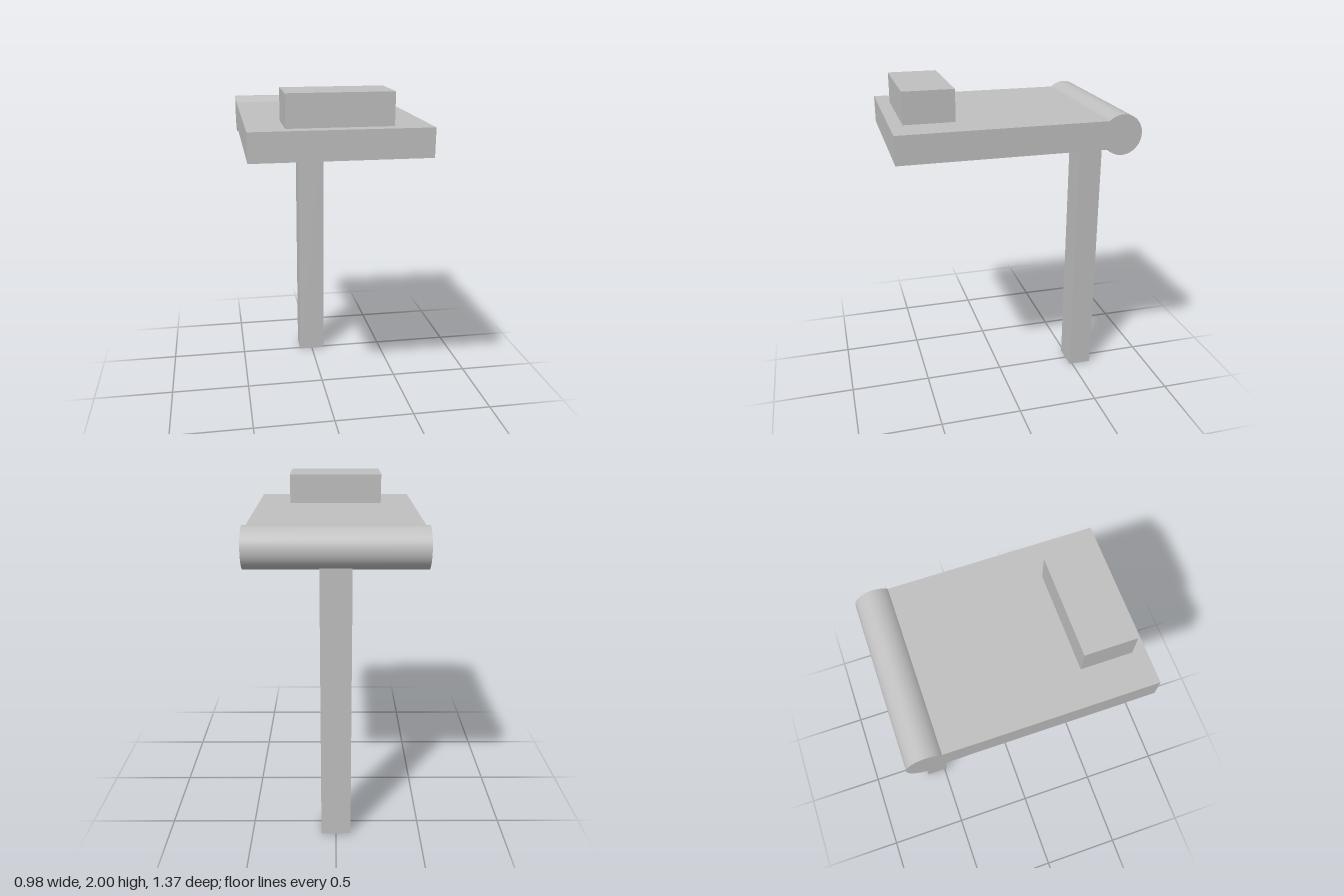
import * as THREE from 'three';

export function createModel() {
  const group = new THREE.Group();
  const grey = new THREE.MeshStandardMaterial({ color: 0xc0c0c0 });
  grey.name = 'light grey';

  const add = (name, geometry, x, y, z) => {
    const mesh = new THREE.Mesh(geometry, grey);
    mesh.name = name;
    mesh.position.set(x, y, z);
    group.add(mesh);
    return mesh;
  };

  const width = 0.98;
  const rollerZ = -0.571;
  const rollerY = 1.739;

  // Upright post, its top buried in the roller
  add('post', new THREE.BoxGeometry(0.174, 1.7, 0.146), 0, 0.85, -0.555);

  // Flat plate running forward from the roller's axis
  const plateFront = 0.686;
  add('plate', new THREE.BoxGeometry(width, 0.16, plateFront - rollerZ),
    0, 1.741, (plateFront + rollerZ) / 2);

  // Round roller along the back edge
  const roller = add('roller', new THREE.CylinderGeometry(0.115, 0.115, width, 64), 0, rollerY, rollerZ);
  roller.rotation.z = Math.PI / 2;

  // Block standing near the front edge
  add('block', new THREE.BoxGeometry(0.576, 0.18, 0.288), 0, 1.91, 0.468);

  return group;
}
